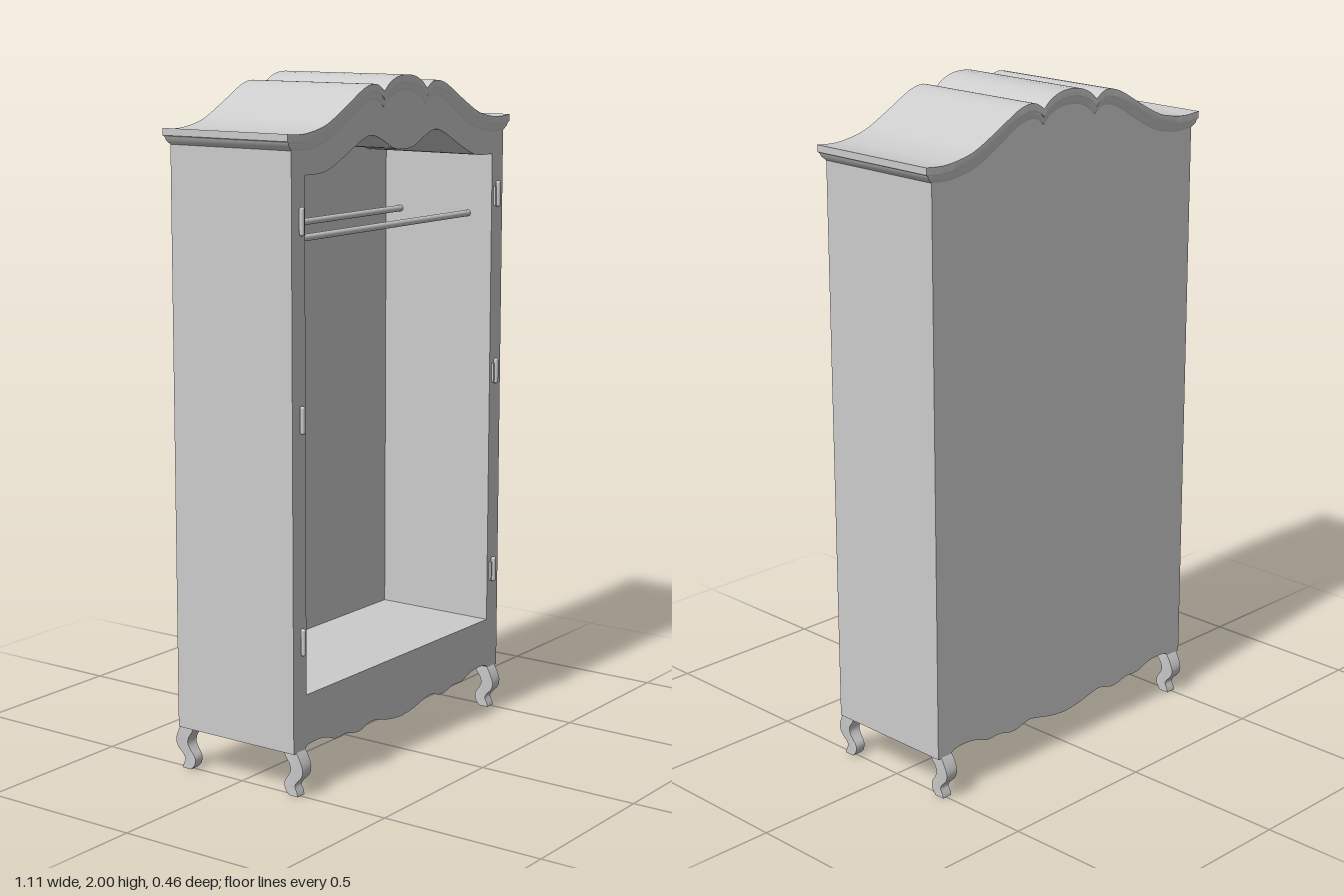
import * as THREE from 'three';
import { toCreasedNormals } from 'three/addons/utils/BufferGeometryUtils.js';

const material = new THREE.MeshStandardMaterial({ color: 0xcccccc });
const spline = (pts, n) => new THREE.SplineCurve(pts.map(p => new THREE.Vector2(...p))).getPoints(n);
// Mirrors a half line (running from x = 0 outwards) into a full line from -x to +x
const mirrored = half => [...half.slice(1).reverse().map(p => new THREE.Vector2(-p.x, p.y)), ...half];

function addMesh(parent, name, geometry, x = 0, y = 0, z = 0) {
  const mesh = new THREE.Mesh(geometry, material);
  mesh.name = name;
  mesh.position.set(x, y, z);
  parent.add(mesh);
  return mesh;
}

function extrude(shape, depth) {
  return new THREE.ExtrudeGeometry(shape, { depth, bevelEnabled: false, curveSegments: 8 });
}

// Crown line: round centre lobe, a cusp, then a shoulder sweeping down to the ends
const crownLine = mirrored([
  ...spline([[0, 2], [0.04, 1.996], [0.08, 1.98], [0.107, 1.957]], 12),
  ...spline([[0.107, 1.957], [0.13, 1.973], [0.16, 1.979], [0.21, 1.966], [0.3, 1.917],
    [0.38, 1.878], [0.45, 1.862], [0.5, 1.858], [0.555, 1.862]], 32).slice(1),
]);

// Wavy apron line along the bottom
const apronLine = mirrored(spline([[0, 0.1], [0.06, 0.107], [0.12, 0.121], [0.16, 0.126], [0.22, 0.112],
  [0.28, 0.124], [0.33, 0.123], [0.37, 0.137], [0.41, 0.144], [0.46, 0.142], [0.485, 0.13], [0.53, 0.13]], 44));

// Scalloped head of the front opening
const openingHead = mirrored(spline([[0, 1.789], [0.05, 1.795], [0.11, 1.823], [0.16, 1.837], [0.21, 1.824],
  [0.29, 1.785], [0.36, 1.755], [0.41, 1.747], [0.47, 1.747]], 32));

function bodyShape() {
  const top = crownLine.map(p => new THREE.Vector2(p.x * 0.53 / 0.555, p.y - 0.04));
  return new THREE.Shape([...apronLine, ...top.reverse()]);
}

// Cornice: stacked rings that step inwards below the fascia
function corniceGeometry() {
  const rings = [[0, 0.555, 0.217], [0.02, 0.555, 0.217], [0.024, 0.549, 0.215],
    [0.034, 0.544, 0.214], [0.041, 0.536, 0.212], [0.047, 0.529, 0.209]]; // drop, half width, half depth
  const n = crownLine.length, m = 2 * n, pos = [], idx = [];
  for (const [drop, w, d] of rings) {
    const row = z => crownLine.map(p => [p.x * w / 0.555, p.y - drop, z]);
    pos.push(...row(d).flat(), ...row(-d).reverse().flat());
  }
  for (let r = 0; r < rings.length - 1; r++) {
    for (let i = 0; i < m; i++) {
      const a = r * m + i, b = r * m + (i + 1) % m;
      idx.push(a, a + m, b, b, a + m, b + m);
    }
  }
  for (let i = 0; i < n - 1; i++) {
    const back = m - 1 - i;
    idx.push(i, i + 1, back - 1, i, back - 1, back);
  }
  const g = new THREE.BufferGeometry();
  g.setAttribute('position', new THREE.Float32BufferAttribute(pos, 3));
  g.setIndex(idx);
  return toCreasedNormals(g, 0.4);
}

// Cabriole leg: S-shaped side profile, tapering in width towards the foot
function legGeometry() {
  const outer = spline([[0.208, 0.135], [0.222, 0.112], [0.231, 0.085], [0.226, 0.062], [0.207, 0.042],
    [0.2, 0.028], [0.207, 0.014], [0.21, 0]], 18);
  const inner = spline([[0.18, 0], [0.166, 0.016], [0.164, 0.038], [0.178, 0.058], [0.188, 0.078],
    [0.184, 0.098], [0.17, 0.118], [0.165, 0.135]], 18);
  const g = extrude(new THREE.Shape([...outer, ...inner]), 1);
  g.translate(0, 0, -0.5);
  const p = g.attributes.position;
  for (let i = 0; i < p.count; i++) {
    const y = p.getY(i);
    p.setZ(i, p.getZ(i) * (0.032 + 0.011 * THREE.MathUtils.smoothstep(y, 0.02, 0.11)));
  }
  g.rotateY(-Math.PI / 2);
  return toCreasedNormals(g, 0.6);
}

export function createModel() {
  const model = new THREE.Group();
  model.name = 'wardrobe';

  // Carcass with the open front, closed by a back panel
  const frame = bodyShape();
  frame.holes.push(new THREE.Path([new THREE.Vector2(-0.47, 0.29), new THREE.Vector2(0.47, 0.29),
    ...openingHead.slice().reverse()]));
  addMesh(model, 'carcass', toCreasedNormals(extrude(frame, 0.39), 0.5), 0, 0, -0.18);
  addMesh(model, 'backPanel', toCreasedNormals(extrude(bodyShape(), 0.03), 0.5), 0, 0, -0.21);
  addMesh(model, 'cornice', corniceGeometry());

  // Hanging rails
  const rail = new THREE.CylinderGeometry(0.01, 0.01, 0.95, 16).rotateZ(Math.PI / 2);
  for (const z of [0.125, -0.125]) addMesh(model, 'hangingRail', rail, 0, 1.563, z);

  // Hinges: a slim plate with a rounded knuckle
  const plate = new THREE.BoxGeometry(0.014, 0.06, 0.008);
  const knuckle = new THREE.CapsuleGeometry(0.0075, 0.065, 5, 12);
  for (const side of [-1, 1]) {
    for (const y of [0.45, 1.08, 1.625]) {
      const hinge = new THREE.Group();
      hinge.name = 'hinge';
      hinge.position.set(side * 0.494, y, 0.21);
      addMesh(hinge, 'hingePlate', plate, -side * 0.006, -0.006, 0.003);
      addMesh(hinge, 'hingeKnuckle', knuckle, 0, 0, 0.008);
      model.add(hinge);
    }
  }

  // Legs, with the rear pair turned to face backwards
  const leg = legGeometry();
  for (const x of [-0.497, 0.497]) {
    addMesh(model, 'frontLeg', leg, x);
    addMesh(model, 'backLeg', leg, x).rotation.y = Math.PI;
  }
  return model;
}
